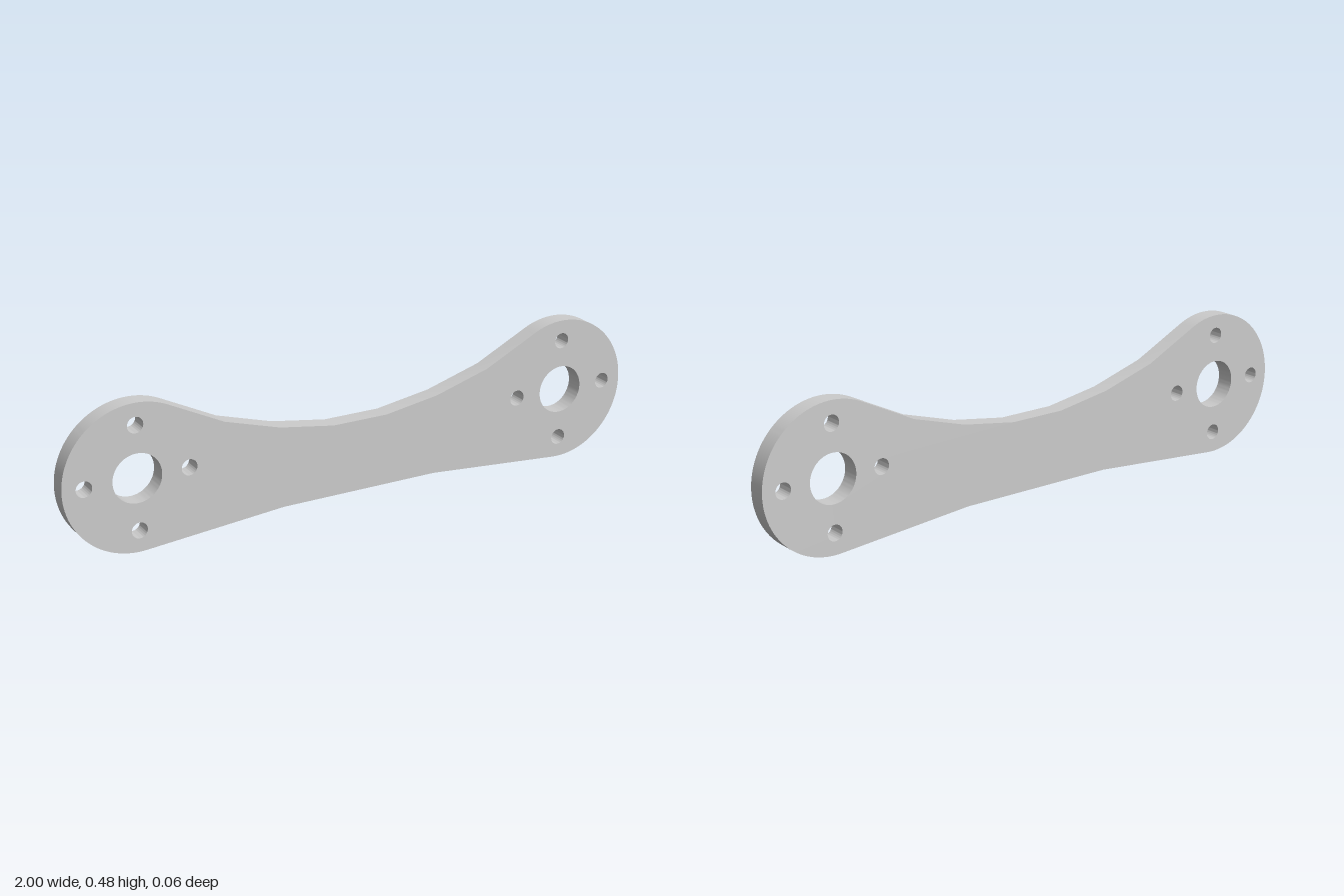
import * as THREE from 'three';
import { toCreasedNormals } from 'three/addons/utils/BufferGeometryUtils.js';

const END_X = 0.76, MID_Y = 0.24, END_R = 0.24, DEPTH = 0.06;
const rad = THREE.MathUtils.degToRad;

function hole(x, y, r) {
  return new THREE.Path().absarc(x, y, r, 0, Math.PI * 2, true);
}

export function createModel() {
  const group = new THREE.Group();
  group.name = 'linkArm';

  // Outline: two round ends joined by a faceted, waisted bar
  const waist = [[0.47, 0.364], [0.282, 0.308], [0.095, 0.278]];
  const outline = new THREE.Shape();
  outline.moveTo(-0.273, 0.04);
  outline.lineTo(0.273, 0.04);
  outline.absarc(END_X, MID_Y, END_R, rad(-95), rad(117), false);
  waist.forEach(([x, y]) => outline.lineTo(x, y));
  [...waist].reverse().forEach(([x, y]) => outline.lineTo(-x, y));
  outline.absarc(-END_X, MID_Y, END_R, rad(63), rad(275), false);
  outline.closePath();

  // Each end: a central bore ringed by four bolt holes
  for (const side of [-1, 1]) {
    const cx = side * END_X;
    outline.holes.push(hole(cx, MID_Y, 0.08));
    for (const [dx, dy] of [[1, 0], [0, 1], [-1, 0], [0, -1]]) {
      outline.holes.push(hole(cx + dx * 0.17, MID_Y + dy * 0.17, 0.026));
    }
  }

  // Flat plate with smooth walls and sharp rims
  const geometry = new THREE.ExtrudeGeometry(outline, {
    depth: DEPTH, bevelEnabled: false, curveSegments: 40,
  });
  geometry.translate(0, 0, -DEPTH / 2);
  const plate = new THREE.Mesh(
    toCreasedNormals(geometry, rad(40)),
    new THREE.MeshStandardMaterial({ color: 0xcccccc }),
  );
  plate.name = 'armPlate';
  group.add(plate);
  return group;
}
